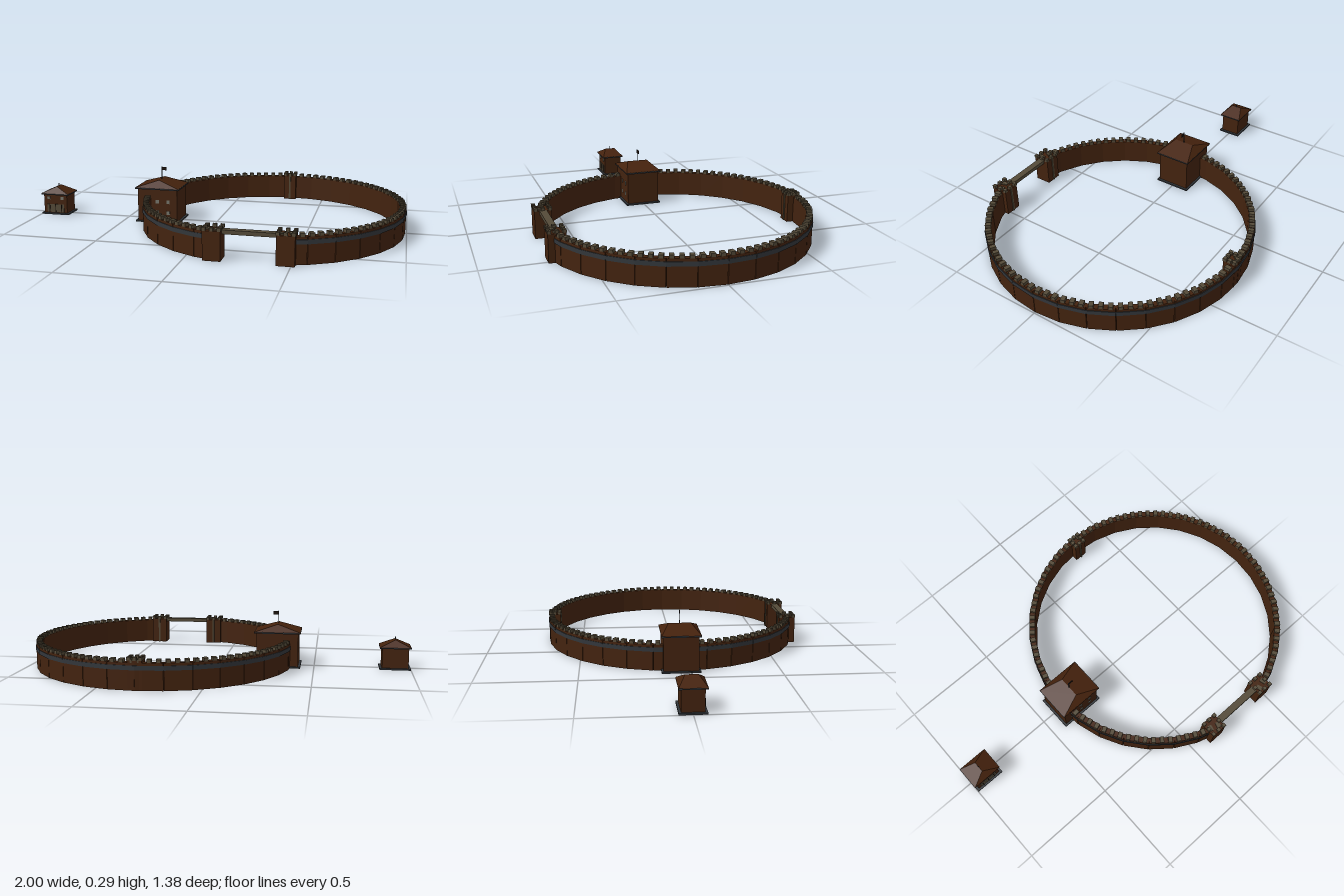
import * as THREE from 'three';

const mat = (name, color) => {
  const m = new THREE.MeshStandardMaterial({ color });
  m.name = name;
  return m;
};

export function createModel() {
  const root = new THREE.Group();
  root.name = 'ringFort';

  const timber = mat('timber brown', 0x43230f);
  const roofBrown = mat('roof brown', 0x45220d);
  const stone = mat('olive stone', 0x544a38);
  const slate = mat('dark slate', 0x32363a);
  const pale = mat('pale window', 0x74746a);
  const dark = mat('dark opening', 0x1c120a);

  // Box given by centre x, bottom y, centre z
  const box = (parent, name, m, w, h, d, x, y, z) => {
    const b = new THREE.Mesh(new THREE.BoxGeometry(w, h, d), m);
    b.name = name;
    b.position.set(x, y + h / 2, z);
    parent.add(b);
    return b;
  };
  const group = (name, x = 0, z = 0) => {
    const g = new THREE.Group();
    g.name = name;
    g.position.set(x, 0, z);
    root.add(g);
    return g;
  };

  // Hipped roof with its ridge along z
  const hipRoof = (parent, w, d, y0, y1, ridge) => {
    const x = w / 2, z = d / 2, r = ridge / 2;
    const a = [-x, y0, z], b = [x, y0, z], c = [x, y0, -z], e = [-x, y0, -z];
    const f = [0, y1, r], k = [0, y1, -r];
    const tris = [a, b, f, c, e, k, b, c, k, b, k, f, e, a, f, e, f, k, a, e, c, a, c, b];
    const geo = new THREE.BufferGeometry();
    geo.setAttribute('position', new THREE.Float32BufferAttribute(tris.flat(), 3));
    geo.computeVertexNormals();
    const roof = new THREE.Mesh(geo, roofBrown);
    roof.name = 'hippedRoof';
    parent.add(roof);
  };

  // Ring wall: straight panels around a circle, open at the gate
  const CX = 0.305, SEG = 32, STEP = (Math.PI * 2) / SEG, R = 0.673, T = 0.03, H = 0.132;
  const chord = 2 * R * Math.sin(STEP / 2);
  const ring = group('ringWall', CX, 0);
  for (let i = 0; i < SEG - 2; i++) {
    const a = Math.PI / 2 + STEP * (i + 1.5);
    const panel = new THREE.Group();
    panel.name = 'wallPanel';
    const rad = R * Math.cos(STEP / 2);
    panel.position.set(rad * Math.cos(a), 0, rad * Math.sin(a));
    panel.rotation.y = -a;
    ring.add(panel);
    box(panel, 'wallBody', timber, T, H, chord, 0, 0, 0);
    box(panel, 'outerBand', slate, 0.004, 0.022, chord + 0.003, T / 2 + 0.001, 0.097, 0);
    for (let k = -1; k <= 1; k++)
      box(panel, 'merlon', stone, T, 0.016, 0.022, 0, H, k * chord / 3);
  }

  // Square towers with crenellated tops; inward = direction of the inner face
  const tower = (name, x, z, w, d, inward) => {
    const g = group(name, x, z);
    const h = 0.142;
    box(g, 'towerBody', timber, w, h, d, 0, 0, 0);
    box(g, 'innerPost', stone, 0.01, h, 0.005, 0, 0, inward * (d / 2 + 0.002));
    const m = 0.018;
    for (const i of [-1, 0, 1]) for (const k of [-1, 0, 1]) {
      if (i || k) box(g, 'towerMerlon', stone, m, 0.016, m, i * (w - m + 0.004) / 2, h, k * (d - m + 0.004) / 2);
    }
  };
  for (const s of [-1, 1]) tower('gateTower', CX + s * 0.17, 0.64, 0.086, 0.086, -1);
  tower('backTower', CX, -0.654, 0.07, 0.064, 1);
  box(root, 'gateBeam', stone, 0.26, 0.02, 0.036, CX, 0.124, 0.639);

  // Large house set into the ring
  const hall = group('mainHouse', -0.308, 0.003);
  box(hall, 'basePlate', slate, 0.242, 0.008, 0.196, 0, 0, 0);
  box(hall, 'houseBody', timber, 0.218, 0.178, 0.176, 0, 0.006, 0);
  box(hall, 'eaves', slate, 0.242, 0.008, 0.196, 0, 0.181, 0);
  hipRoof(hall, 0.244, 0.198, 0.188, 0.226, 0.112);
  for (const x of [-0.06, 0, 0.06]) for (const y of [0.045, 0.105])
    box(hall, 'window', pale, 0.018, 0.02, 0.004, x, y, 0.0885);
  box(hall, 'flagPole', slate, 0.004, 0.07, 0.004, 0, 0.22, 0);
  box(hall, 'flag', dark, 0.026, 0.018, 0.003, 0.014, 0.271, 0);

  // Small outlying house
  const hut = group('smallHouse', -0.919, 0);
  box(hut, 'basePlate', slate, 0.16, 0.008, 0.126, 0, 0, 0);
  box(hut, 'houseBody', timber, 0.136, 0.108, 0.104, 0, 0.006, 0);
  box(hut, 'eaves', slate, 0.16, 0.007, 0.126, 0, 0.111, 0);
  hipRoof(hut, 0.162, 0.128, 0.117, 0.154, 0.058);
  box(hut, 'finial', slate, 0.004, 0.018, 0.004, 0, 0.15, 0);
  box(hut, 'frontPanel', stone, 0.1, 0.045, 0.004, 0, 0.012, 0.0525);
  for (const x of [-0.035, 0, 0.035])
    box(hut, 'panelPost', dark, 0.004, 0.045, 0.004, x, 0.012, 0.0545);
  for (const x of [-0.04, 0.04])
    box(hut, 'window', pale, 0.018, 0.016, 0.004, x, 0.084, 0.0525);

  return root;
}
